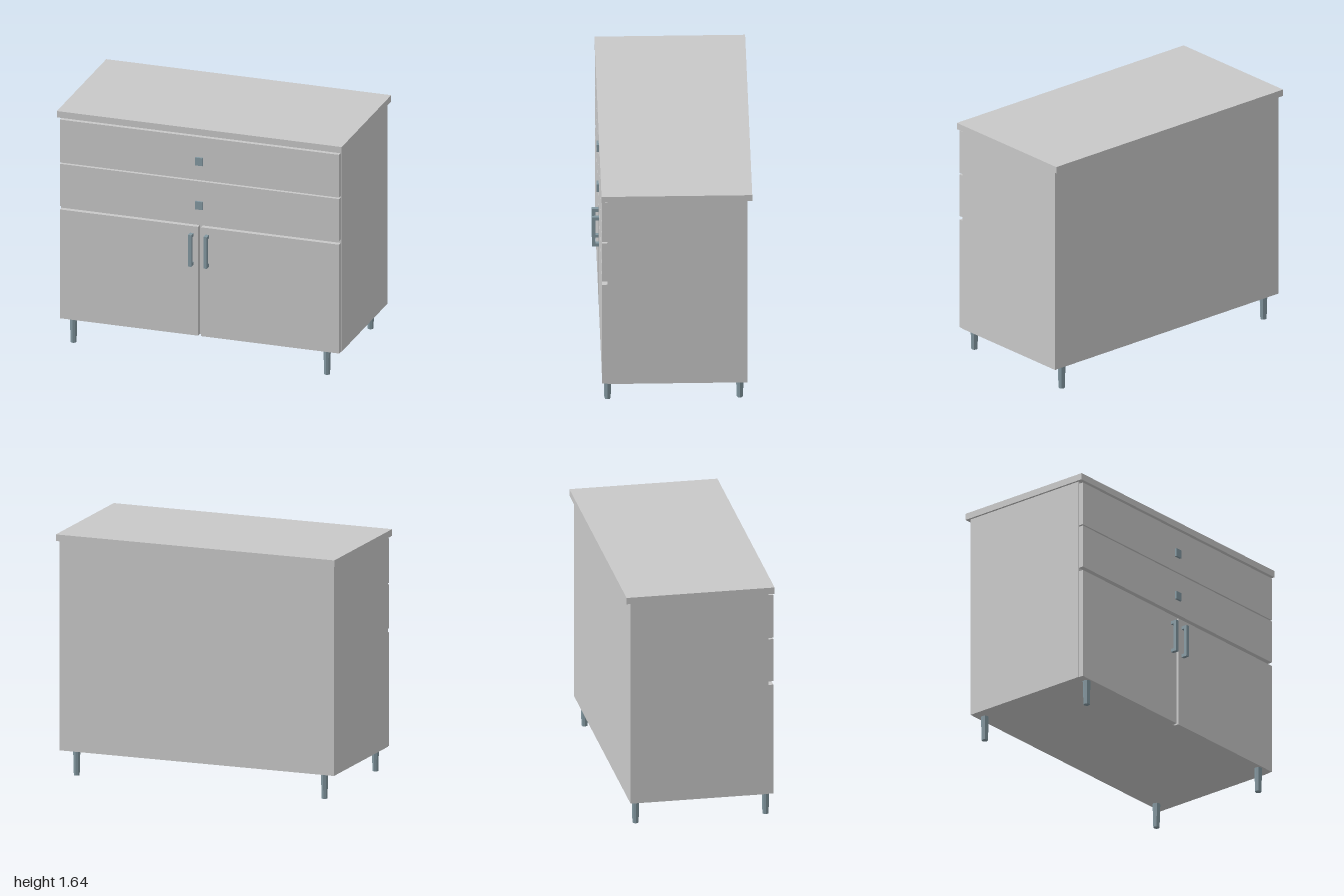
import * as THREE from 'three';

export function createModel() {
  const group = new THREE.Group();
  const paint = new THREE.MeshStandardMaterial({ color: 0xc8c8c8 });
  paint.name = 'cabinet grey';
  const metal = new THREE.MeshStandardMaterial({ color: 0x8398a1, flatShading: true });
  metal.name = 'blue grey metal';

  // Box given by its extents on each axis
  function box(name, [x0, x1], [y0, y1], [z0, z1], material, parent = group) {
    const mesh = new THREE.Mesh(new THREE.BoxGeometry(x1 - x0, y1 - y0, z1 - z0), material);
    mesh.position.set((x0 + x1) / 2, (y0 + y1) / 2, (z0 + z1) / 2);
    mesh.name = name;
    parent.add(mesh);
  }

  const frontZ = [0.44, 0.475];

  // Carcass and worktop
  box('carcass', [-0.985, 0.985], [0.17, 1.6], [-0.49, 0.44], paint);
  box('worktop', [-1, 1], [1.6, 1.645], [-0.52, 0.48], paint);

  // Drawers with square knobs
  [['upper', 1.28, 1.585], ['lower', 0.97, 1.27]].forEach(([level, y0, y1]) => {
    box(level + 'DrawerFront', [-0.98, 0.98], [y0, y1], frontZ, paint);
    const mid = (y0 + y1) / 2 - 0.018;
    box(level + 'DrawerKnob', [-0.026, 0.026], [mid - 0.028, mid + 0.028], [0.475, 0.49], metal);
  });

  // Doors with bow handles
  for (const [side, s] of [['left', 1], ['right', -1]]) {
    const span = (a, b) => (s > 0 ? [a, b] : [-b, -a]);
    box(side + 'Door', span(0.01, 0.98), [0.17, 0.945], frontZ, paint);

    const handle = new THREE.Group();
    handle.name = side + 'Handle';
    const hx = span(0.042, 0.066);
    box('grip', hx, [0.672, 0.897], [0.497, 0.52], metal, handle);
    box('lowerPost', hx, [0.672, 0.694], [0.475, 0.497], metal, handle);
    box('upperPost', hx, [0.875, 0.897], [0.475, 0.497], metal, handle);
    group.add(handle);
  }

  // Tapered eight-sided legs
  const legGeometry = new THREE.CylinderGeometry(0.026, 0.021, 0.17, 8);
  for (const x of [-0.897, 0.883]) {
    for (const z of [-0.44, 0.438]) {
      const leg = new THREE.Mesh(legGeometry, metal);
      leg.name = (z > 0 ? 'front' : 'back') + (x > 0 ? 'Left' : 'Right') + 'Leg';
      leg.position.set(x, 0.085, z);
      group.add(leg);
    }
  }

  return group;
}
